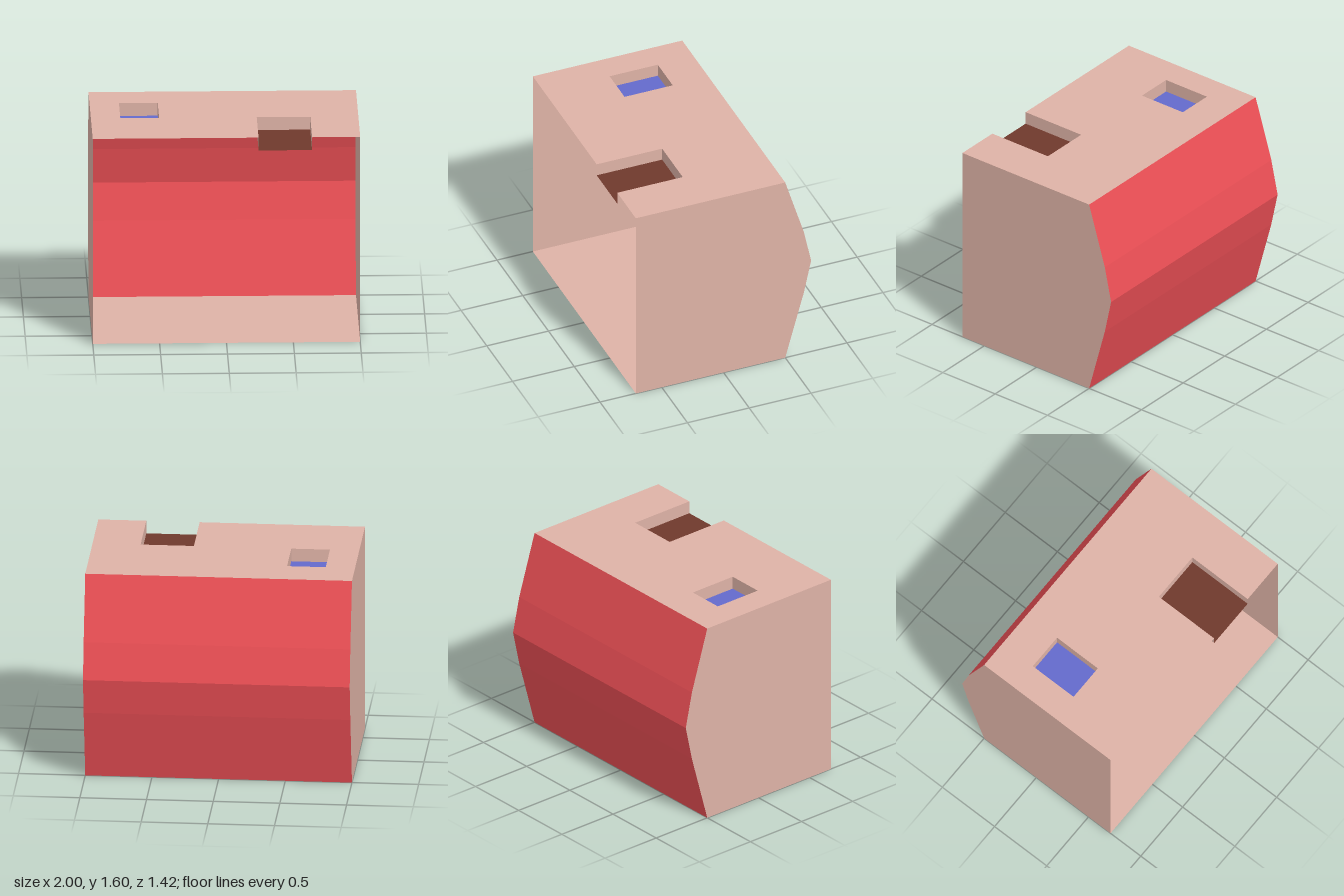
import * as THREE from 'three';

const material = (color) =>
  new THREE.MeshStandardMaterial({ color, side: THREE.DoubleSide, flatShading: true });
const plaster = material(0xdeb2a6);
const red = material(0xee5056);
const blue = material(0x646acc);
const brown = material(0x6f392c);

const FRONT = 0.71, BACK = -0.5, TOP = 1.6, RECESS = 1.5;

// Bulging back wall, as [z, y] from bottom to top
const backProfile = [[BACK, 0], [-0.65, 0.55], [-0.71, 0.83], [-0.65, 1.11], [BACK, TOP]];

// Flat strip standing or lying along a path of [x, y, z] pairs
function strip(pairs) {
  const points = [];
  for (let i = 0; i < pairs.length - 1; i++) {
    const [a, b] = pairs[i], [c, d] = pairs[i + 1];
    points.push(...a, ...b, ...d, ...a, ...d, ...c);
  }
  const geometry = new THREE.BufferGeometry();
  geometry.setAttribute('position', new THREE.Float32BufferAttribute(points, 3));
  geometry.computeVertexNormals();
  return geometry;
}

// Horizontal panel from an outline of [x, z], facing up
const toShape = (outline) => new THREE.Shape(outline.map(([x, z]) => new THREE.Vector2(x, -z)));
function panel(outline, y, holes = []) {
  const shape = toShape(outline);
  shape.holes = holes.map(toShape);
  return new THREE.ShapeGeometry(shape).rotateX(-Math.PI / 2).translate(0, y, 0);
}

export function createModel() {
  const group = new THREE.Group();
  const add = (name, geometry, mat) => {
    const mesh = new THREE.Mesh(geometry, mat);
    mesh.name = name;
    group.add(mesh);
  };

  // Outlines of the closed recess and the one open to the front
  const closed = [[-0.78, 0.18], [-0.49, 0.18], [-0.49, -0.21], [-0.78, -0.21]];
  const open = [[0.24, FRONT], [0.24, 0.18], [0.64, 0.18], [0.64, FRONT]];

  // Side walls
  const side = new THREE.Shape(
    [[FRONT, TOP], [FRONT, 0], ...backProfile].map(([z, y]) => new THREE.Vector2(z, y)));
  for (const [name, x] of [['leftWall', 1], ['rightWall', -1]]) {
    const wall = new THREE.ShapeGeometry(side).rotateY(x * Math.PI / 2);
    if (x > 0) wall.scale(1, 1, -1);
    add(name, wall.translate(x, 0, 0), plaster);
    if (x > 0) {
      // Restore outward winding after mirroring
      wall.setIndex([...wall.index.array].reverse());
      wall.computeVertexNormals();
    }
  }

  // Base, and roof with a hole and a front notch
  add('base', panel([[-1, FRONT], [1, FRONT], [1, BACK], [-1, BACK]], 0), plaster);
  add('roof', panel([[-1, FRONT], ...open, [1, FRONT], [1, BACK], [-1, BACK]], TOP, [closed]), plaster);

  // Bulging back wall
  add('backWall', strip(backProfile.map(([z, y]) => [[1, y, z], [-1, y, z]])), red);

  // Recess walls and floors
  const walls = (path) => strip(path.map(([x, z]) => [[x, RECESS, z], [x, TOP, z]]));
  add('closedRecessWalls', walls([...closed, closed[0]]), plaster);
  add('closedRecessFloor', panel(closed, RECESS), blue);
  add('openRecessWalls', walls(open), plaster);
  add('openRecessFloor', panel(open, RECESS), brown);

  return group;
}
